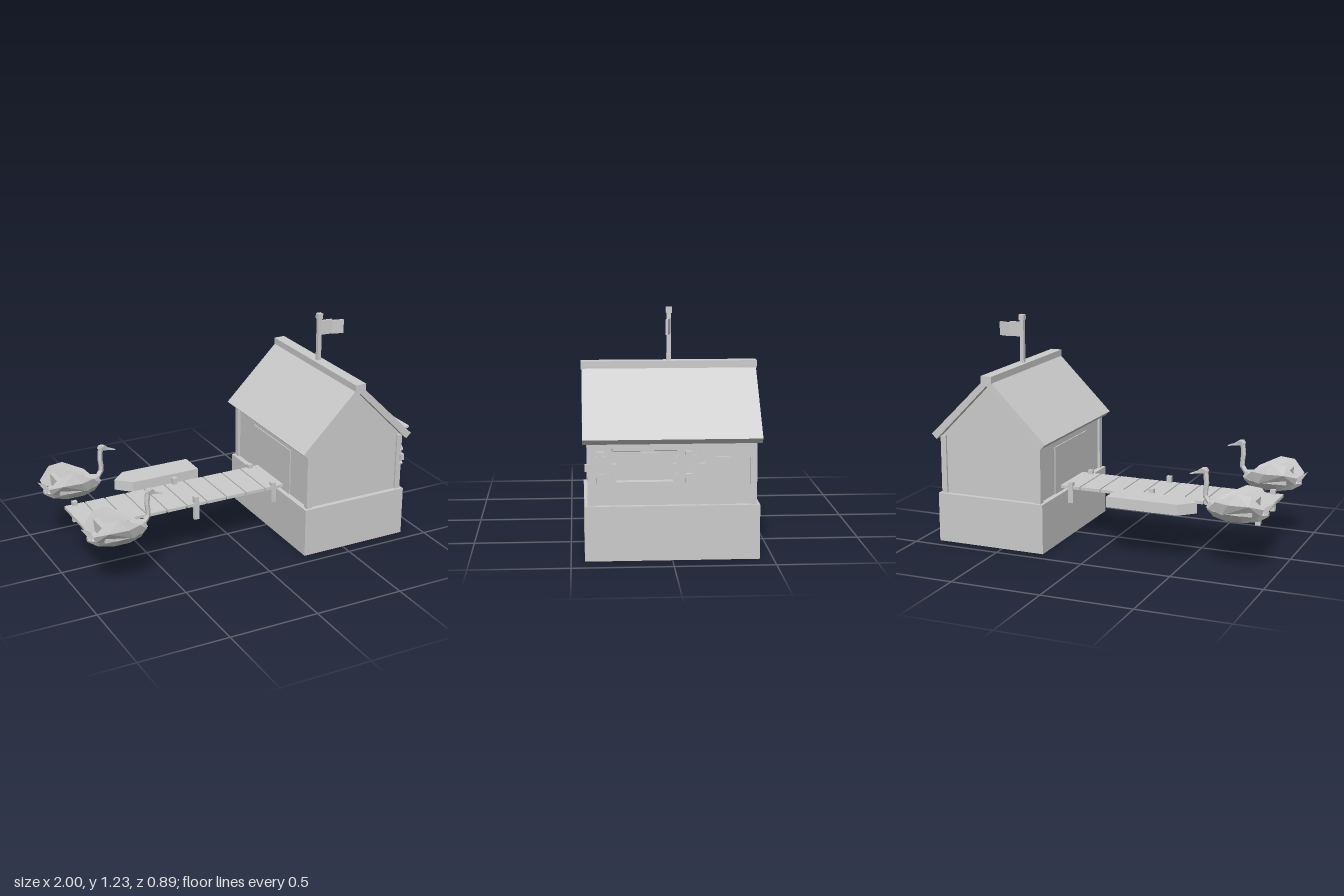
import * as THREE from 'three';
import { ConvexGeometry } from 'three/addons/geometries/ConvexGeometry.js';

const grey = new THREE.MeshStandardMaterial({ color: 0xcccccc, flatShading: true, side: THREE.DoubleSide });
grey.name = 'plain grey';

function add(parent, name, geometry) {
  const mesh = new THREE.Mesh(geometry, grey);
  mesh.name = name;
  parent.add(mesh);
  return mesh;
}

// Box given by its limits on each axis
function box(parent, name, x0, x1, y0, y1, z0, z1) {
  const g = new THREE.BoxGeometry(x1 - x0, y1 - y0, z1 - z0);
  g.translate((x0 + x1) / 2, (y0 + y1) / 2, (z0 + z1) / 2);
  return add(parent, name, g);
}

// Upright prism over a plan of [x, z] points; the underside can be left open
function prism(plan, y0, y1, open) {
  const shape = new THREE.Shape(plan.map(([x, z]) => new THREE.Vector2(x, -z)));
  const ext = new THREE.ExtrudeGeometry(shape, { depth: y1 - y0, bevelEnabled: false });
  ext.rotateX(-Math.PI / 2).translate(0, y0, 0);
  if (!open) return ext;
  const skip = ext.groups[0].count / 2; // first half of the caps is the underside
  const g = new THREE.BufferGeometry();
  g.setAttribute('position', new THREE.BufferAttribute(ext.attributes.position.array.slice(skip * 3), 3));
  g.computeVertexNormals();
  return g;
}

// Front profile of [x, y] points extruded evenly to both sides of z = 0
function slab(profile, halfDepth) {
  const shape = new THREE.Shape(profile.map(([x, y]) => new THREE.Vector2(x, y)));
  return new THREE.ExtrudeGeometry(shape, { depth: halfDepth * 2, bevelEnabled: false }).translate(0, 0, -halfDepth);
}

function makeHouse() {
  const house = new THREE.Group();
  house.name = 'house';
  const cx = 0.572;
  add(house, 'foundation', prism([[0.255, 0.432], [0.887, 0.432], [0.887, -0.432], [0.255, -0.432]], 0, 0.275, true));
  add(house, 'walls', slab([[0.285, 0.275], [0.862, 0.275], [0.862, 0.605], [cx, 0.9], [0.285, 0.605]], 0.405));
  for (const sx of [-1, 1]) {
    for (const sz of [-1, 1]) {
      const x = cx + sx * 0.285, z = sz * 0.401;
      box(house, 'cornerPost', x - 0.016, x + 0.016, 0.275, 0.6, z - 0.016, z + 0.016);
    }
    const px = (d) => cx + sx * d;
    add(house, 'roofSlope', slab([[px(0), 0.95], [px(0.342), 0.61], [px(0.313), 0.583], [px(0), 0.902]], 0.44));
  }
  box(house, 'ridgeCap', cx - 0.032, cx + 0.032, 0.915, 0.955, -0.444, 0.444);

  // Serving side
  box(house, 'servingWindow', 0.862, 0.868, 0.402, 0.537, 0.01, 0.262);
  box(house, 'counter', 0.862, 0.912, 0.388, 0.402, 0, 0.275);
  box(house, 'sideDoor', 0.862, 0.868, 0.275, 0.515, -0.282, -0.172);
  const awning = slab([[0.865, 0.545], [1, 0.573], [1, 0.585], [0.865, 0.557]], 0.159);
  add(house, 'awning', awning).position.z = 0.138;
  for (const z of [0.353, -0.08]) house.add(makeRing(z));

  // Wide door onto the pier
  box(house, 'pierDoor', 0.279, 0.286, 0.275, 0.54, -0.21, 0.21);

  // Flagpole
  box(house, 'flagpole', cx - 0.011, cx + 0.011, 0.95, 1.195, -0.011, 0.011);
  box(house, 'poleCap', cx - 0.015, cx + 0.015, 1.195, 1.225, -0.015, 0.015);
  const near = prism([[0.58, -0.008], [0.65, -0.003], [0.65, 0.01], [0.58, 0.006]], 1.1, 1.182);
  const far = prism([[0.65, -0.003], [0.72, 0.013], [0.716, 0.025], [0.65, 0.01]], 1.097, 1.174);
  add(house, 'flagInner', near);
  add(house, 'flagOuter', far);
  return house;
}

// Octagonal ring with eight blocks around it
function makeRing(z) {
  const ring = new THREE.Group();
  ring.name = 'lifeRing';
  const octagon = (r) => Array.from({ length: 8 }, (_, i) => {
    const a = (i + 0.5) * Math.PI / 4;
    return new THREE.Vector2(Math.cos(a) * r, Math.sin(a) * r);
  });
  const shape = new THREE.Shape(octagon(0.06));
  shape.holes.push(new THREE.Path(octagon(0.038)));
  add(ring, 'ringBody', new THREE.ExtrudeGeometry(shape, { depth: 0.018, bevelEnabled: false }));
  for (let i = 0; i < 8; i++) {
    const g = new THREE.BoxGeometry(0.036, 0.036, 0.022);
    g.translate(0.06, 0, 0.011).rotateZ(i * Math.PI / 4);
    add(ring, 'ringBlock', g);
  }
  ring.rotation.y = Math.PI / 2;
  ring.position.set(0.862, 0.467, z);
  return ring;
}

function makePier() {
  const pier = new THREE.Group();
  pier.name = 'pier';
  for (let i = 0; i < 10; i++) {
    const x = -0.912 + i * 0.1195;
    box(pier, 'plank', x, x + 0.112, 0.295, 0.312, -0.15, 0.146);
  }
  for (const [x, top] of [[-0.857, 0.335], [-0.26, 0.348], [0.217, 0.333]]) {
    for (const z of [-0.139, 0.134]) box(pier, 'pierPost', x - 0.014, x + 0.014, 0.215, top, z - 0.012, z + 0.012);
  }
  return pier;
}

// Flat boat with a pointed bow
function makePunt() {
  const punt = new THREE.Group();
  punt.name = 'flatBoat';
  const plan = [[-0.565, -0.278], [-0.485, -0.2], [-0.083, -0.2], [-0.083, -0.355], [-0.485, -0.355]];
  add(punt, 'boatHull', prism(plan, 0.283, 0.342, true));
  return punt;
}

// Hull lofted from six-sided sections [x, half width, bottom, top]
function hullGeometry() {
  const sections = [[-0.965, 0.015, 0.325, 0.345], [-0.92, 0.055, 0.3, 0.345], [-0.84, 0.085, 0.288, 0.345],
    [-0.75, 0.083, 0.288, 0.345], [-0.68, 0.055, 0.3, 0.36], [-0.638, 0.015, 0.325, 0.352]];
  const pos = [], index = [];
  for (const [x, w, b, t] of sections) {
    const m = 0.335;
    pos.push(x, t, w * 0.8, x, m, w, x, b, w * 0.55, x, b, -w * 0.55, x, m, -w, x, t, -w * 0.8);
  }
  const n = 6, last = (sections.length - 1) * n;
  for (let s = 0; s < last; s += n) {
    for (let i = 0; i < n; i++) {
      const j = (i + 1) % n;
      index.push(s + i, s + j, s + n + i, s + j, s + n + j, s + n + i);
    }
  }
  for (let i = 1; i < n - 1; i++) index.push(0, i + 1, i, last, last + i, last + i + 1);
  const g = new THREE.BufferGeometry();
  g.setAttribute('position', new THREE.Float32BufferAttribute(pos, 3));
  g.setIndex(index);
  g.computeVertexNormals();
  return g;
}

function makeBirdBoat(z) {
  const bird = new THREE.Group();
  bird.name = 'birdBoat';
  const convex = (name, pts) => add(bird, name, new ConvexGeometry(pts.map((p) => new THREE.Vector3(...p))));
  add(bird, 'hull', hullGeometry());
  // Seats
  box(bird, 'seatBack', -0.9, -0.872, 0.335, 0.405, -0.082, 0.082);
  box(bird, 'seat', -0.872, -0.775, 0.335, 0.37, -0.082, 0.082);
  // Wings on both sides
  for (const s of [-1, 1]) {
    convex('wing', [[-0.96, 0.378, 0.072], [-0.9, 0.445, 0.088], [-0.82, 0.453, 0.088], [-0.7, 0.392, 0.074],
      [-0.655, 0.345, 0.045], [-0.74, 0.328, 0.08], [-0.945, 0.337, 0.06],
      [-0.89, 0.395, 0.108], [-0.78, 0.392, 0.108]].map(([x, y, w]) => [x, y, w * s]));
  }
  // Tail and chest
  convex('tail', [[-1, 0.403, 0], [-0.945, 0.365, 0.03], [-0.945, 0.365, -0.03], [-0.95, 0.33, 0.025], [-0.95, 0.33, -0.025]]);
  convex('chest', [[-0.73, 0.345, 0.065], [-0.73, 0.345, -0.065], [-0.72, 0.375, 0.04], [-0.72, 0.375, -0.04],
    [-0.65, 0.375, 0.015], [-0.65, 0.375, -0.015], [-0.632, 0.34, 0.015], [-0.632, 0.34, -0.015]]);
  // Neck, head and beak
  const path = new THREE.CatmullRomCurve3([[-0.665, 0.345], [-0.624, 0.4], [-0.63, 0.46], [-0.624, 0.53]]
    .map(([x, y]) => new THREE.Vector3(x, y, 0)));
  add(bird, 'neck', new THREE.TubeGeometry(path, 6, 0.014, 6, false));
  convex('head', [[-0.64, 0.53, 0.012], [-0.64, 0.53, -0.012], [-0.63, 0.547, 0.01], [-0.63, 0.547, -0.01],
    [-0.605, 0.545, 0.014], [-0.605, 0.545, -0.014], [-0.585, 0.532, 0.008], [-0.585, 0.532, -0.008],
    [-0.59, 0.515, 0.008], [-0.59, 0.515, -0.008], [-0.63, 0.518, 0.01], [-0.63, 0.518, -0.01]]);
  convex('beak', [[-0.59, 0.53, 0.009], [-0.59, 0.53, -0.009], [-0.59, 0.515, 0.009], [-0.59, 0.515, -0.009],
    [-0.537, 0.505, 0.004], [-0.537, 0.505, -0.004], [-0.54, 0.511, 0]]);
  bird.position.z = z;
  return bird;
}

export function createModel() {
  const model = new THREE.Group();
  model.name = 'boatHouse';
  model.add(makeHouse(), makePier(), makePunt(), makeBirdBoat(0.317), makeBirdBoat(-0.318));
  return model;
}
